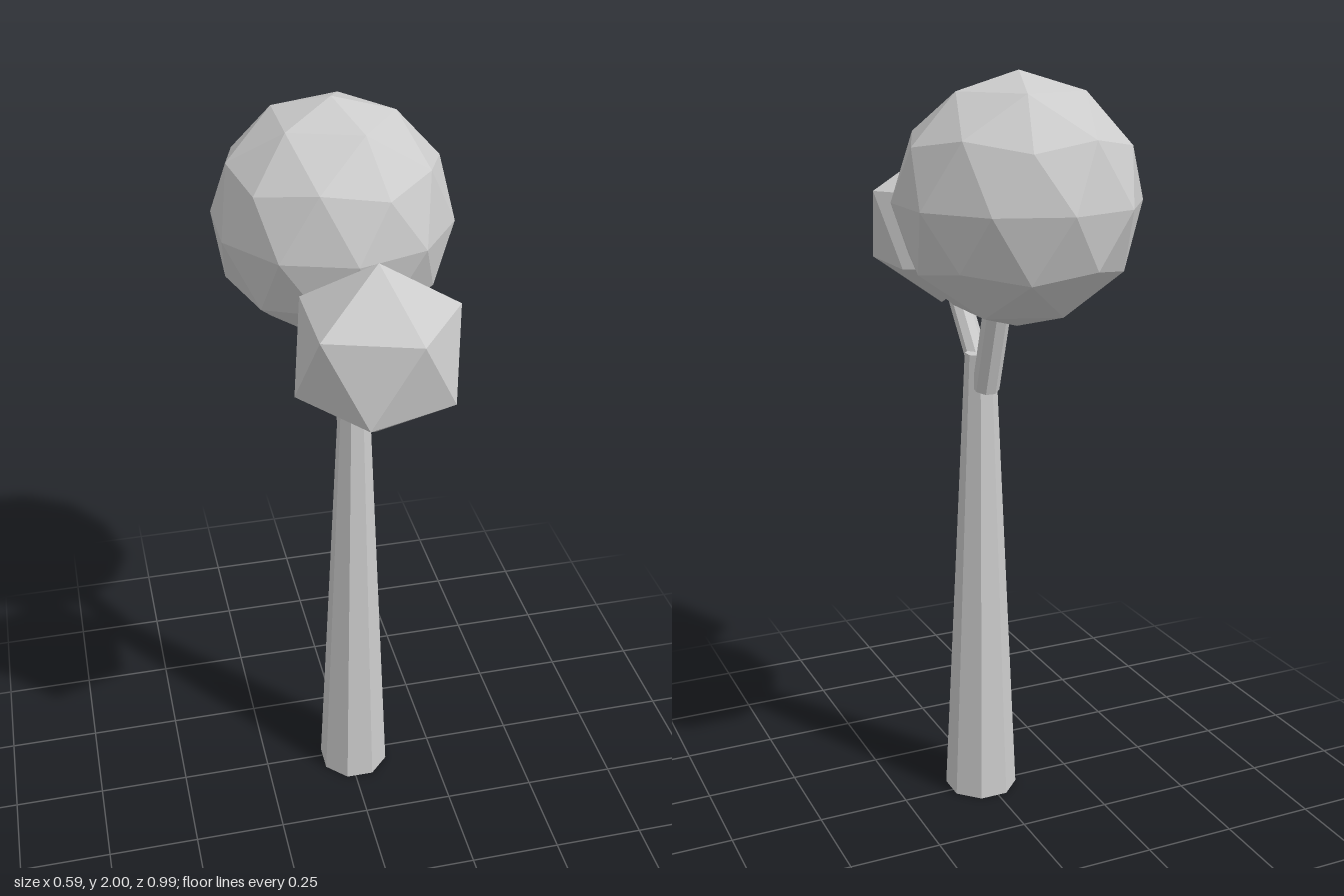
import * as THREE from 'three';

const material = new THREE.MeshStandardMaterial({ color: 0xcccccc, flatShading: true });

function addMesh(group, name, geometry) {
  const mesh = new THREE.Mesh(geometry, material);
  mesh.name = name;
  group.add(mesh);
  return mesh;
}

// Eight-sided tapered limb running between two points
function addLimb(group, name, from, to, r0, r1) {
  const a = new THREE.Vector3(...from);
  const b = new THREE.Vector3(...to);
  const axis = b.clone().sub(a);
  const geometry = new THREE.CylinderGeometry(r1, r0, axis.length(), 8);
  geometry.rotateY(Math.PI / 8);
  const limb = addMesh(group, name, geometry);
  limb.position.copy(a).add(b).multiplyScalar(0.5);
  limb.quaternion.setFromUnitVectors(new THREE.Vector3(0, 1, 0), axis.normalize());
}

// Faceted ball with a corner pointing straight up and an upper corner towards +x
function addFoliage(group, name, radius, detail, position) {
  const geometry = new THREE.IcosahedronGeometry(radius, detail);
  geometry.rotateX(-Math.atan((1 + Math.sqrt(5)) / 2));
  geometry.rotateY(Math.PI / 2);
  addMesh(group, name, geometry).position.set(...position);
}

export function createModel() {
  const tree = new THREE.Group();
  tree.name = 'tree';

  // Trunk
  addLimb(tree, 'trunk', [0.013, 0, 0.013], [0.013, 1.27, 0.013], 0.1, 0.041);

  // Forked branches
  addLimb(tree, 'frontBranch', [0.01, 1.24, 0.035], [0.01, 1.475, 0.228], 0.03, 0.03);
  addLimb(tree, 'backBranch', [0.01, 1.18, -0.016], [0.01, 1.51, -0.121], 0.036, 0.036);

  // Foliage
  addFoliage(tree, 'smallFoliage', 0.22, 0, [0, 1.57, 0.307]);
  addFoliage(tree, 'largeFoliage', 0.31, 1, [0, 1.69, -0.185]);

  return tree;
}
